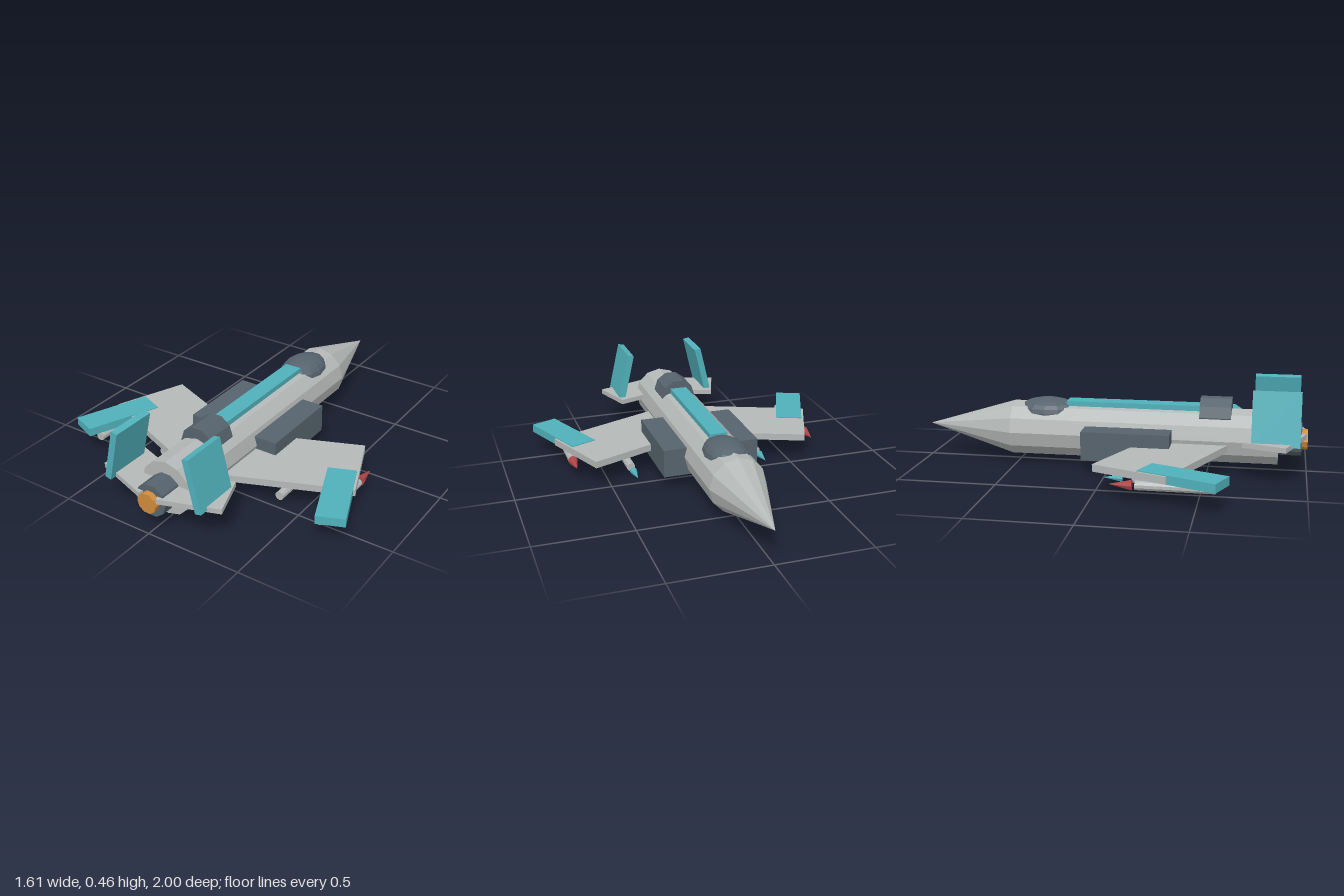
import * as THREE from 'three';

const mat = (name, color) => new THREE.MeshStandardMaterial({ name, color, flatShading: true });
const rad = THREE.MathUtils.degToRad;

export function createModel() {
  const jet = new THREE.Group();
  jet.name = 'jet';
  const grey = mat('hull grey', 0xb4b8b7);
  const slate = mat('slate', 0x56636d);
  const teal = mat('teal', 0x50b0ba);
  const red = mat('red', 0xb04448);
  const orange = mat('orange', 0xd08c3c);

  function add(name, geometry, material, x, y, z) {
    const mesh = new THREE.Mesh(geometry, material);
    mesh.name = name;
    mesh.position.set(x, y, z);
    jet.add(mesh);
    return mesh;
  }
  const box = (name, material, size, pos) => add(name, new THREE.BoxGeometry(...size), material, ...pos);

  // round part along z, from z0 (front) to z1 (rear)
  function round(name, material, rFront, rRear, z0, z1, x, y, sides, turn = 0) {
    const g = new THREE.CylinderGeometry(rRear, rFront, z1 - z0, sides);
    g.rotateY(turn).rotateX(Math.PI / 2);
    return add(name, g, material, x, y, (z0 + z1) / 2);
  }

  // fuselage, nose and engine
  const axisY = 0.173;
  round('fuselage', grey, 0.145, 0.142, -0.525, 0.855, 0, axisY, 12);
  round('nose', grey, 0, 0.145, -1, -0.525, 0, axisY, 12);
  round('nozzle', slate, 0.085, 0.085, 0.84, 0.97, 0, 0.17, 10, Math.PI / 10);
  round('exhaust', orange, 0.053, 0.053, 0.95, 1, 0, 0.17, 10, Math.PI / 10);

  // canopy, spine and dorsal pod
  const canopy = add('canopy', new THREE.SphereGeometry(1, 14, 10), slate, 0, 0.27, -0.345);
  canopy.scale.set(0.11, 0.07, 0.165);
  box('spine', teal, [0.09, 0.04, 0.72], [0, 0.311, 0.12]);
  round('dorsalPod', slate, 0.094, 0.094, 0.455, 0.615, 0, 0.281, 10, Math.PI / 10);

  for (const s of [1, -1]) {
    const side = s > 0 ? 'left' : 'right';

    box(side + 'Intake', slate, [0.15, 0.147, 0.447], [s * 0.178, 0.148, 0.098]);

    // forward-swept wing and its tip panel
    box(side + 'Wing', grey, [0.66, 0.036, 0.394], [s * 0.345, 0.136, 0.304]).rotation.y = s * rad(22);
    box(side + 'WingTip', teal, [0.142, 0.043, 0.4], [s * 0.664, 0.1365, 0.434]).rotation.y = s * rad(22);

    // tailplane and inward-leaning fin
    box(side + 'Tailplane', grey, [0.31, 0.026, 0.224], [s * 0.16, 0.196, 0.837]).rotation.y = s * rad(19);
    box(side + 'Fin', teal, [0.035, 0.272, 0.236], [s * 0.232, 0.322, 0.842]).rotation.z = s * rad(13);

    // outer missile
    round(side + 'OuterMissile', grey, 0.023, 0.023, 0.215, 0.585, s * 0.66, 0.088, 10);
    round(side + 'OuterWarhead', red, 0, 0.026, 0.09, 0.2, s * 0.66, 0.088, 8);

    // inner missile with its flat fin
    round(side + 'InnerMissile', grey, 0.023, 0.023, 0.155, 0.445, s * 0.357, 0.025, 10);
    round(side + 'InnerWarhead', teal, 0, 0.02, 0.01, 0.107, s * 0.357, 0.025, 8);
    box(side + 'InnerMissileFin', teal, [0.08, 0.013, 0.125], [s * 0.358, 0.062, 0.307]);
  }
  return jet;
}
